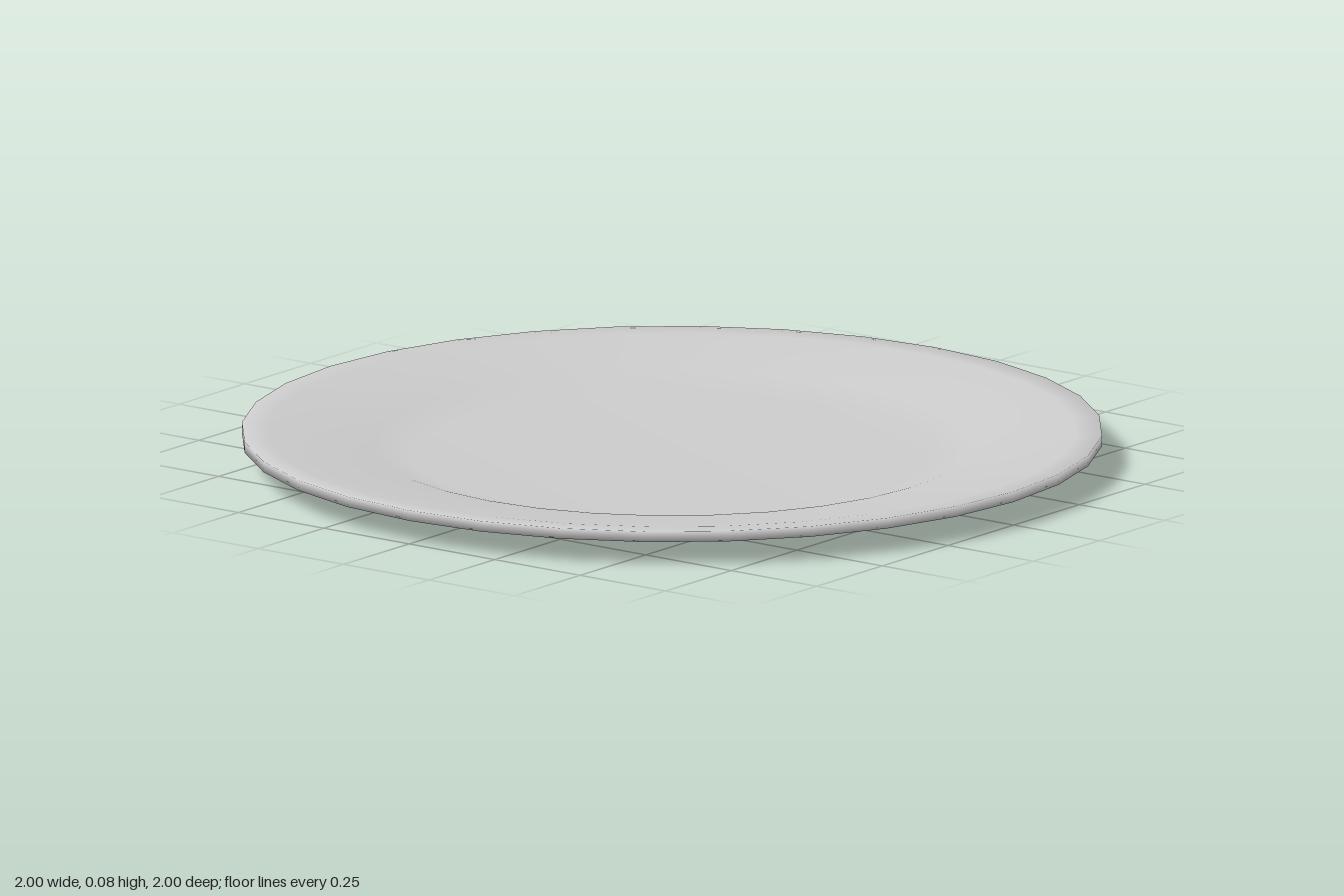
import * as THREE from 'three';

export function createModel() {
  const group = new THREE.Group();
  group.name = 'plate';

  // Closed profile: underside from the centre outwards, up the rim, back over the top
  const profile = [
    [0, 0], [0.6, 0], [0.7, 0.025], [1, 0.055], // base and underside
    [1, 0.08], [0.94, 0.077],                   // rim
    [0.7, 0.045], [0.6, 0.02], [0, 0.02],       // dished top
  ].map(([r, y]) => new THREE.Vector2(r, y));

  const dish = new THREE.Mesh(
    new THREE.LatheGeometry(profile, 32),
    new THREE.MeshStandardMaterial({ color: 0xcccccc })
  );
  dish.name = 'dish';
  group.add(dish);
  return group;
}
